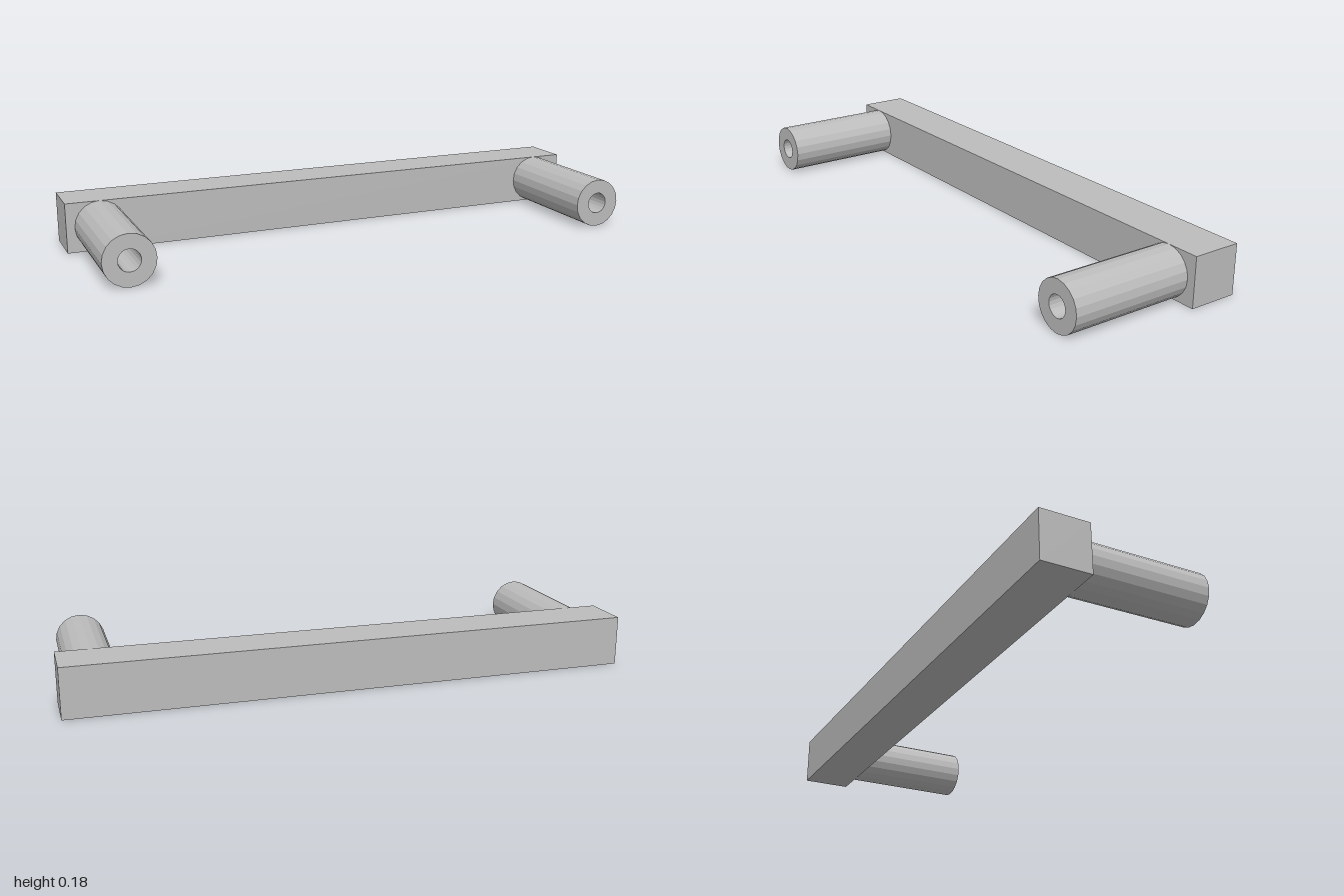
import * as THREE from 'three';

// Faceted post standing on its base, with a blind screw hole in its free end
function postGeometry(radius, length, holeRadius, holeDepth) {
  const profile = [
    [radius, 0], [radius, length], [holeRadius, length],
    [holeRadius, length - holeDepth], [0, length - holeDepth],
  ].map(([r, y]) => new THREE.Vector2(r, y));
  const geometry = new THREE.LatheGeometry(profile, 20).toNonIndexed();
  geometry.computeVertexNormals();
  return geometry.rotateX(Math.PI / 2); // free end towards +z
}

export function createModel() {
  const model = new THREE.Group();
  model.name = 'pullHandle';
  const metal = new THREE.MeshStandardMaterial({ color: 0xbcbcbc });
  metal.name = 'brushed grey metal';

  const size = 0.177, back = -0.31, front = 0.31;
  const barFront = back + size;

  // Square grip bar
  const bar = new THREE.Mesh(new THREE.BoxGeometry(2, size, size), metal);
  bar.name = 'gripBar';
  bar.position.set(0, size / 2, back + size / 2);
  model.add(bar);

  // Two mounting posts
  const post = postGeometry(size / 2, front - barFront, 0.038, 0.3);
  for (const side of [-1, 1]) {
    const mesh = new THREE.Mesh(post, metal);
    mesh.name = side > 0 ? 'leftPost' : 'rightPost';
    mesh.position.set(side * 0.882, size / 2, barFront);
    model.add(mesh);
  }
  return model;
}
